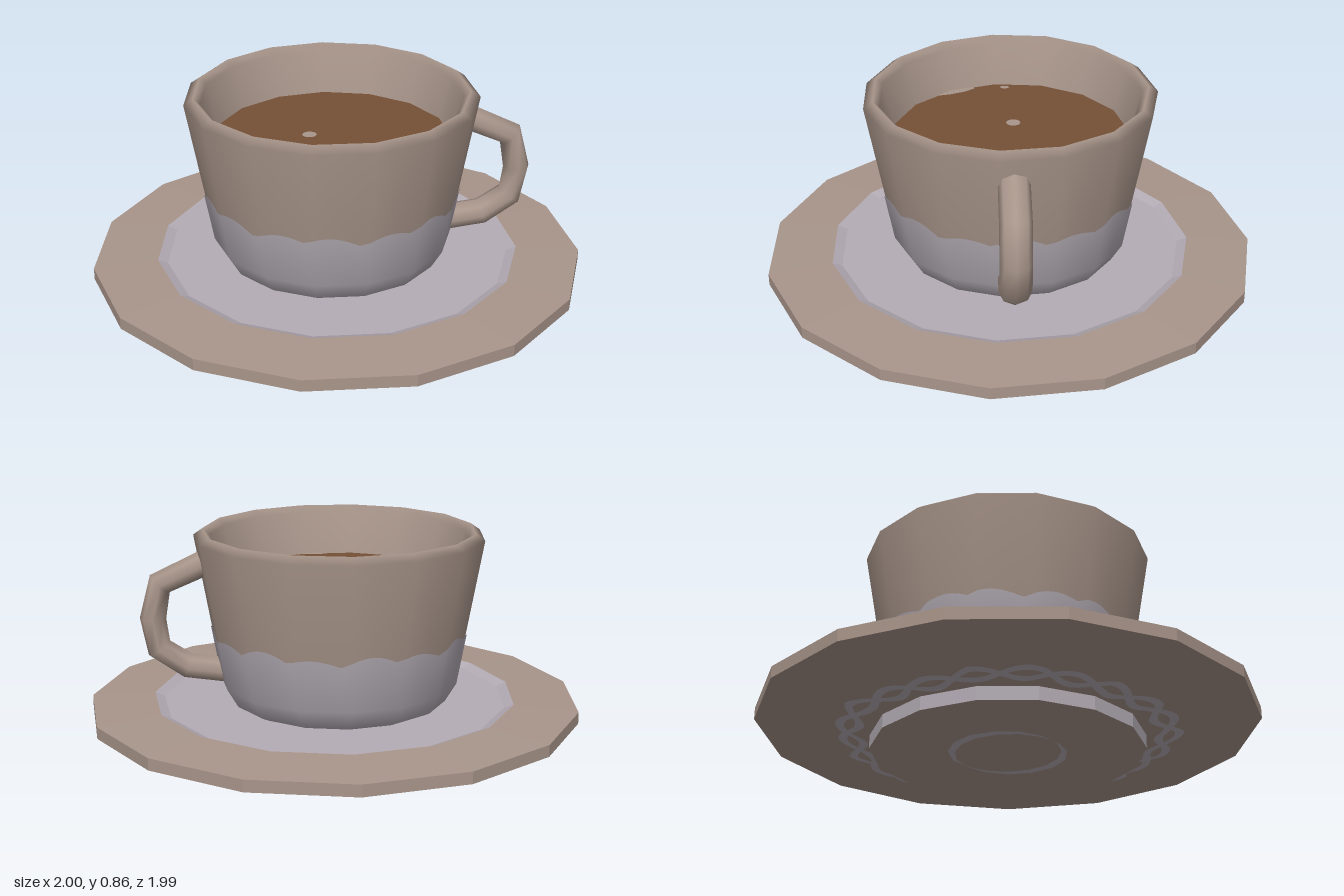
import * as THREE from 'three';

const SIDES = 15;
const mat = (name, color, side = THREE.FrontSide) => {
  const m = new THREE.MeshStandardMaterial({ color, side });
  m.name = name;
  return m;
};

// Fifteen-sided turned part with a corner at the back
function turned(points, flat) {
  const g = new THREE.LatheGeometry(points.map(([r, y]) => new THREE.Vector2(r, y)), SIDES, Math.PI);
  if (!flat) return g;
  const f = g.toNonIndexed();
  f.computeVertexNormals();
  return f;
}

// Band that follows the fifteen-sided outline; each row gives radius, height and normal slope
function band(rows, steps = 10) {
  const pos = [], nor = [], idx = [], n = SIDES * steps;
  const corner = k => {
    const a = Math.PI + (k / SIDES) * Math.PI * 2;
    return new THREE.Vector2(Math.sin(a), Math.cos(a));
  };
  for (const row of rows) {
    for (let i = 0; i <= n; i++) {
      const k = Math.floor(i / steps);
      const p = corner(k).lerp(corner(k + 1), (i % steps) / steps);
      const { r, y, nr, ny } = row(i / n);
      pos.push(p.x * r, y, p.y * r);
      const v = new THREE.Vector3(p.x * nr, ny, p.y * nr).normalize();
      nor.push(v.x, v.y, v.z);
    }
  }
  for (let j = 0; j < rows.length - 1; j++) {
    for (let i = 0; i < n; i++) {
      const a = j * (n + 1) + i, b = a + 1, c = a + n + 1, d = c + 1;
      idx.push(a, b, c, b, d, c);
    }
  }
  const g = new THREE.BufferGeometry();
  g.setAttribute('position', new THREE.Float32BufferAttribute(pos, 3));
  g.setAttribute('normal', new THREE.Float32BufferAttribute(nor, 3));
  g.setIndex(idx);
  return g;
}

export function createModel() {
  const clay = mat('clay', 0xa8958a);
  const glaze = mat('lavender glaze', 0xb4acb5);
  const coffeeMat = mat('coffee', 0x754f36);

  const model = new THREE.Group();
  const saucer = new THREE.Group();
  const cup = new THREE.Group();
  saucer.name = 'saucer';
  cup.name = 'cup';
  saucer.position.z = 0.011;
  cup.position.set(-0.02, 0, 0.007);
  model.add(saucer, cup);

  const add = (parent, name, geometry, material) => {
    const m = new THREE.Mesh(geometry, material);
    m.name = name;
    parent.add(m);
    return m;
  };

  // Saucer
  add(saucer, 'footBase', turned([[0, 0], [0.55, 0]], true), clay);
  add(saucer, 'footRing', turned([[0.55, 0], [0.55, 0.055]], true), glaze);
  add(saucer, 'saucerPlate', turned([[0.55, 0.055], [1.0055, 0.105], [1.0055, 0.153], [0.745, 0.167]], true), clay);
  add(saucer, 'saucerWell', turned([[0.745, 0.167], [0.705, 0.15], [0, 0.145]], true), glaze);

  // Interlaced glaze loops under the saucer
  const underY = r => 0.055 + ((r - 0.55) * 0.05) / 0.4555 - 0.003;
  for (const sign of [-1, 1]) {
    const loop = offset => u => {
      const r = 0.64 + offset + sign * 0.04 * Math.sin(u * Math.PI * 22) + 0.012 * Math.sin(u * Math.PI * 10);
      return { r, y: underY(r) - (sign > 0 ? 0.001 : 0), nr: 0.1, ny: -1 };
    };
    add(saucer, 'undersideLoops', band([loop(-0.018), loop(0.018)]), glaze);
  }

  // Two crescents on the foot base
  const crescent = s => u => ({
    r: 0.225 + s * 0.02 * Math.abs(Math.cos(u * Math.PI * 2 - Math.PI / 4)),
    y: -0.001, nr: 0, ny: -1,
  });
  add(saucer, 'baseCrescents', band([crescent(-1), crescent(1)]), glaze);

  // Cup body: outer wall, rounded rim, inner wall
  add(cup, 'cupBody', turned([
    [0.4, 0.145], [0.44, 0.165], [0.485, 0.24], [0.59, 0.835],
    [0.552, 0.862], [0.525, 0.835], [0.475, 0.64],
  ]), clay);

  // Dipped glaze with a scalloped edge
  const fixed = (r, y, nr, ny) => () => ({ r, y, nr, ny });
  const edge = u => {
    const y = 0.432 + 0.026 * Math.abs(Math.sin(u * Math.PI * 15 + 0.6)) + 0.008 * Math.sin(u * Math.PI * 14);
    return { r: 0.489 + ((y - 0.24) * 0.105) / 0.595, y, nr: 1, ny: -0.18 };
  };
  add(cup, 'dippedGlaze', band([
    fixed(0.4, 0.142, 0.6, -0.8), fixed(0.444, 0.163, 0.75, -0.6),
    fixed(0.489, 0.24, 1, -0.36), edge,
  ]), glaze);

  // Coffee and its foam flecks
  add(cup, 'coffee', turned([[0.482, 0.66], [0, 0.66]], true), coffeeMat);
  const flecks = [
    [-0.09, -0.015, 0.03, 0.03, 0], [-0.405, 0.23, 0.1, 0.025, -1.2],
    [0.34, 0.35, 0.075, 0.025, 0.8], [0.07, 0.455, 0.065, 0.015, 0],
    [-0.44, 0.01, 0.02, 0.014, 1.5],
  ];
  for (const [x, z, w, d, turn] of flecks) {
    const f = add(cup, 'foamFleck', new THREE.CircleGeometry(1, 9).rotateX(-Math.PI / 2), clay);
    f.scale.set(w, 1, d);
    f.rotation.y = turn;
    f.position.set(x, 0.663, z);
  }

  // Handle: angular loop through a few bends
  const path = [[0.53, 0.727], [0.705, 0.648], [0.737, 0.505], [0.715, 0.38], [0.6, 0.302], [0.44, 0.28]]
    .map(([x, y]) => new THREE.Vector3(x, y, 0));
  const curve = new THREE.Curve();
  curve.getPoint = t => {
    const s = THREE.MathUtils.clamp(t, 0, 1) * (path.length - 1);
    const k = Math.min(Math.floor(s), path.length - 2);
    return path[k].clone().lerp(path[k + 1], s - k);
  };
  curve.getUtoTmapping = u => u;
  const handle = add(model, 'handle', new THREE.TubeGeometry(curve, path.length - 1, 0.053, 8), clay);
  handle.scale.z = 1.15;
  handle.position.z = 0.012;

  return model;
}
